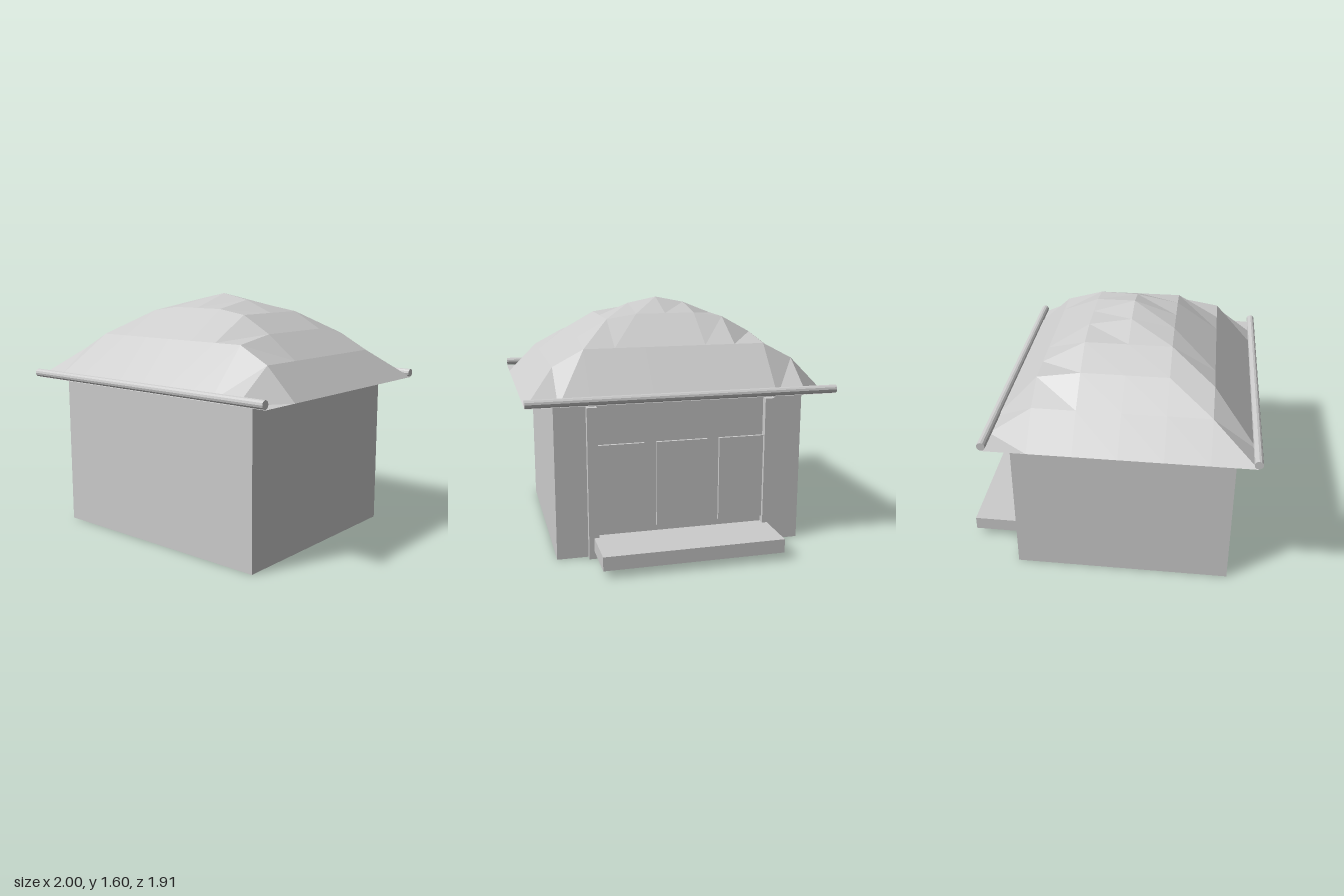
import * as THREE from 'three';

export function createModel() {
  const model = new THREE.Group();
  const grey = new THREE.MeshStandardMaterial({ color: 0xcccccc, flatShading: true, side: THREE.DoubleSide });
  grey.name = 'plain grey';

  const add = (name, geometry, x = 0, y = 0, z = 0) => {
    const mesh = new THREE.Mesh(geometry, grey);
    mesh.name = name;
    mesh.position.set(x, y, z);
    model.add(mesh);
    return mesh;
  };
  // Box given by its lowest and highest corners
  const block = (name, x0, x1, y0, y1, z0, z1) =>
    add(name, new THREE.BoxGeometry(x1 - x0, y1 - y0, z1 - z0), (x0 + x1) / 2, (y0 + y1) / 2, (z0 + z1) / 2);

  block('walls', -0.82, 0.82, 0, 1.05, -0.6, 0.81);

  // Domed roof sheet: each point takes the lower of a side-to-side and a front-to-back curve
  const across = [1.6, 1.56, 1.48, 1.37, 1.22, 1.02];
  const along = [1.6, 1.51, 1.325, 1.02];
  const roof = new THREE.PlaneGeometry(2, 1.65, 10, 6).rotateX(-Math.PI / 2);
  const p = roof.attributes.position;
  for (let i = 0; i < p.count; i++) {
    const ix = Math.round(Math.abs(p.getX(i)) / 0.2);
    const iz = Math.round(Math.abs(p.getZ(i)) / 0.275);
    p.setY(i, Math.min(across[ix], along[iz]));
  }
  roof.computeVertexNormals();
  add('roof', roof, 0, 0, 0.1);

  // Round rails along the front and back eaves
  for (const [name, z] of [['frontEaveRail', 0.925], ['backEaveRail', -0.724]]) {
    add(name, new THREE.CylinderGeometry(0.027, 0.027, 2, 12).rotateZ(Math.PI / 2), 0, 1.05, z);
  }

  // Entrance side: pillars, three panels and the step
  for (const s of [-1, 1]) {
    block(s > 0 ? 'leftPillar' : 'rightPillar', s * 0.585 - 0.033, s * 0.585 + 0.033, 0, 0.99, -0.645, -0.6);
  }
  for (const i of [-1, 0, 1]) {
    block('doorPanel', i * 0.42 - 0.17, i * 0.42 + 0.17, 0.18, 0.74, -0.62, -0.6);
  }
  block('porchStep', -0.585, 0.585, 0.05, 0.14, -0.955, -0.6);

  return model;
}
